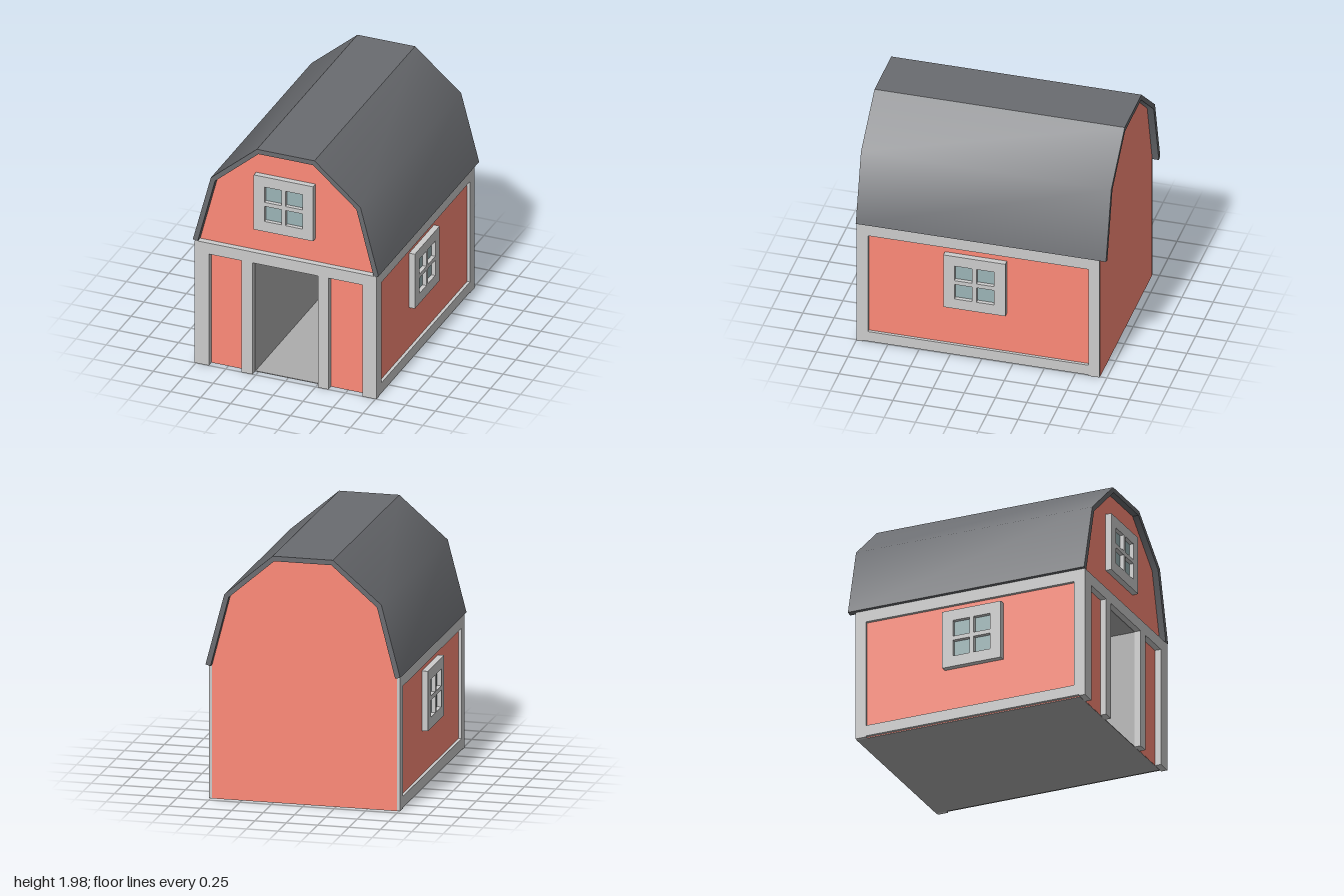
import * as THREE from 'three';
import { toCreasedNormals } from 'three/addons/utils/BufferGeometryUtils.js';

const mat = (color) => new THREE.MeshStandardMaterial({ color });
const red = mat(0xfe8a78);
const trim = mat(0xcccccc);
const roofGrey = mat(0x6a6c70);
const glass = mat(0x9bb4b6);
const inner = mat(0xadadad);

const WALL = 0.735, FRONT = 0.95, BACK = -0.947, ROOM_BACK = -0.9;
const DOOR_L = -0.277, DOOR_R = 0.268, DOOR_TOP = 0.977;

function mesh(name, geometry, material, parent) {
  const m = new THREE.Mesh(geometry, material);
  m.name = name;
  parent.add(m);
  return m;
}

// Box given by its min and max on each axis
function block(name, [x0, x1], [y0, y1], [z0, z1], material, parent) {
  const m = mesh(name, new THREE.BoxGeometry(x1 - x0, y1 - y0, z1 - z0), material, parent);
  m.position.set((x0 + x1) / 2, (y0 + y1) / 2, (z0 + z1) / 2);
}

// Polygon in x, y pushed along z from z0 to z1
function prism(points, z0, z1) {
  const shape = new THREE.Shape(points.map(([x, y]) => new THREE.Vector2(x, y)));
  const g = new THREE.ExtrudeGeometry(shape, { depth: z1 - z0, bevelEnabled: false });
  return g.translate(0, 0, z0);
}

// Mirrors a right-hand profile to the left, running right to left
const mirrored = (half) => [...half, ...half.map(([x, y]) => [-x, y]).reverse()];

// Four-pane window facing +z, its back at z = 0
function makeWindow(name) {
  const group = new THREE.Group();
  group.name = name;
  const w = 0.495, h = 0.477, pw = 0.141, ph = 0.133, bar = 0.0175;
  const rect = (P, x, y, a, b) => {
    const p = new P();
    p.moveTo(x, y).lineTo(x + a, y).lineTo(x + a, y + b).lineTo(x, y + b).closePath();
    return p;
  };
  const shape = rect(THREE.Shape, -w / 2, -h / 2, w, h);
  for (const x of [-bar - pw, bar])
    for (const y of [-bar - ph, bar]) shape.holes.push(rect(THREE.Path, x, y, pw, ph));
  const frame = new THREE.ExtrudeGeometry(shape, { depth: 0.048, bevelEnabled: false });
  mesh('windowFrame', frame, trim, group);
  block('windowGlass', [-0.2, 0.2], [-0.18, 0.18], [-0.005, 0.015], glass, group);
  return group;
}

export function createModel() {
  const barn = new THREE.Group();
  barn.name = 'barn';

  // Walls: gambrel section with a doorway, closed by a back wall
  const outline = mirrored([[WALL, 0.003], [WALL, 1.09], [0.59, 1.635], [0.228, 1.945]]);
  const doorway = [[DOOR_L, 0.003], [DOOR_L, DOOR_TOP + 0.003], [DOOR_R, DOOR_TOP + 0.003], [DOOR_R, 0.003]];
  mesh('walls', prism([...outline, ...doorway], ROOM_BACK, FRONT), red, barn);
  mesh('backWall', prism(outline, BACK, ROOM_BACK), red, barn);

  // Floor slab and thin panels lining the room
  const T = 0.004, roomX = [DOOR_L, DOOR_R], roomY = [0.004, DOOR_TOP], roomZ = [ROOM_BACK, FRONT];
  block('floor', [-WALL + 0.002, WALL - 0.002], [0, 0.006], [BACK + 0.002, FRONT - 0.002], inner, barn);
  block('roomLeftPanel', [DOOR_R - T, DOOR_R], roomY, roomZ, inner, barn);
  block('roomRightPanel', [DOOR_L, DOOR_L + T], roomY, roomZ, inner, barn);
  block('roomBackPanel', roomX, roomY, [ROOM_BACK, ROOM_BACK + T], inner, barn);
  block('roomCeiling', roomX, [DOOR_TOP - T, DOOR_TOP], roomZ, inner, barn);

  // Roof shell with overhang front and back
  const outer = mirrored([[0.775, 1.08], [0.625, 1.65], [0.24, 1.98]]);
  const under = mirrored([[0.735, 1.07], [0.59, 1.628], [0.228, 1.94]]).reverse();
  mesh('roof', toCreasedNormals(prism([...outer, ...under], -1, 1), 0.65), roofGrey, barn);

  // Front beam and door posts
  const frontZ = [FRONT, 1];
  block('frontBeam', [-0.76, 0.76], [DOOR_TOP, 1.072], frontZ, trim, barn);
  block('doorPost', [DOOR_R, 0.356], [0, DOOR_TOP], frontZ, trim, barn);
  block('doorPost', [-0.367, DOOR_L], [0, DOOR_TOP], frontZ, trim, barn);

  for (const s of [-1, 1]) {
    const span = (a, b) => (s > 0 ? [a, b] : [-b, -a]);
    block('cornerPost', span(0.642, 0.76), [0, DOOR_TOP], frontZ, trim, barn);

    // Side wall trim
    const x = span(WALL - 0.005, 0.76);
    block('sideFrontPost', x, [0.009, 1.072], [0.906, FRONT], trim, barn);
    block('sideBackPost', x, [0, 1.072], [BACK + 0.004, -0.855], trim, barn);
    block('sideTopRail', x, [DOOR_TOP, 1.072], [-0.855, 0.906], trim, barn);
    block('sideBottomRail', x, [0.009, 0.097], [-0.855, 0.906], trim, barn);

    // Side window
    const win = makeWindow('sideWindow');
    win.position.set(s * WALL, 0.684, 0.05);
    win.rotation.y = (s * Math.PI) / 2;
    barn.add(win);
  }

  // Gable window
  const loft = makeWindow('loftWindow');
  loft.position.set(-0.02, 1.51, FRONT);
  barn.add(loft);

  return barn;
}
